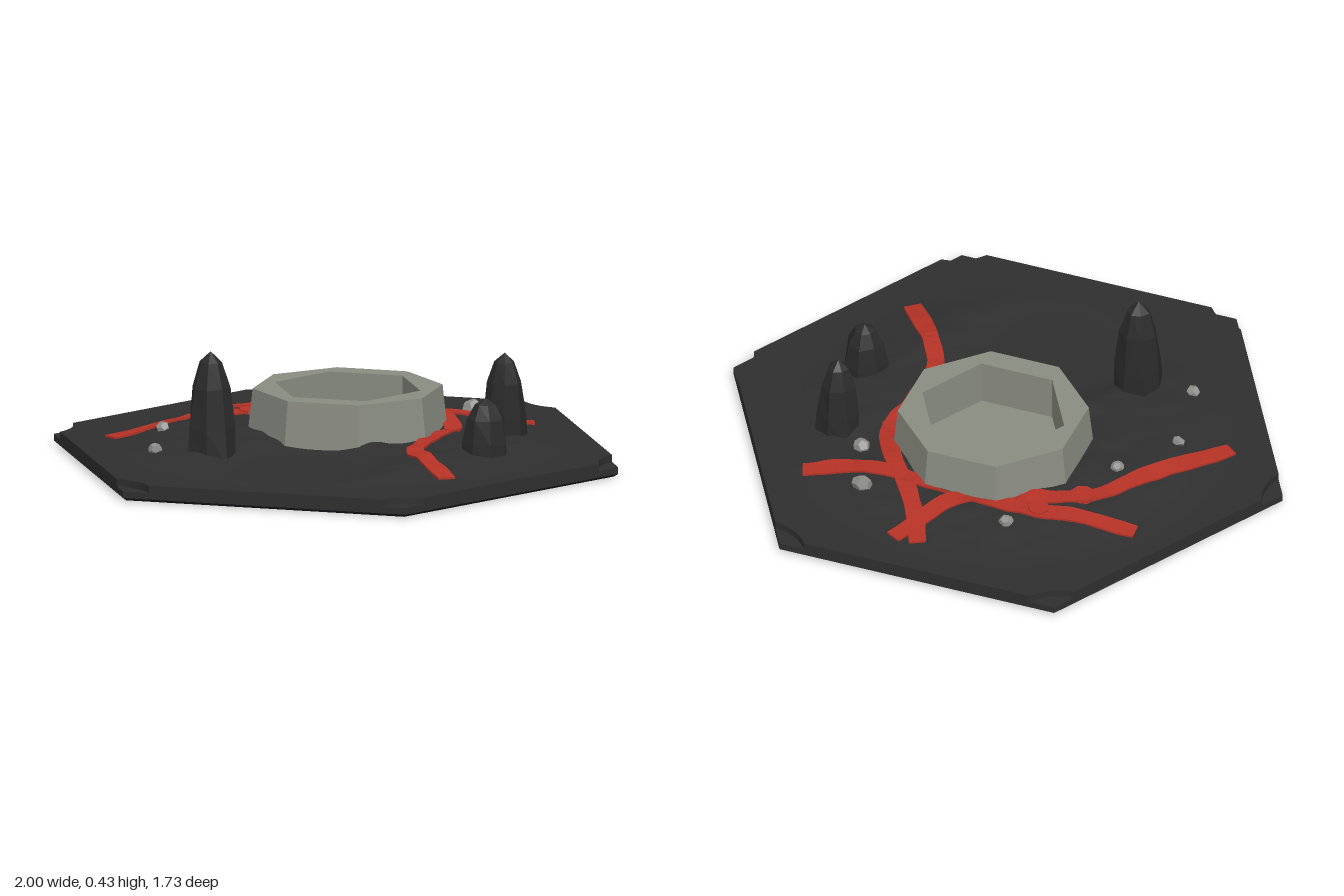
import * as THREE from 'three';

const mat = (name, color) => {
  const m = new THREE.MeshStandardMaterial({ color });
  m.name = name;
  return m;
};
const basin = { x: 0, z: -0.14 };
const smooth = THREE.MathUtils.smoothstep;

// Seeded value noise for the rough ground
const hash = (i, j) => {
  const s = Math.sin(i * 127.1 + j * 311.7) * 43758.5453;
  return s - Math.floor(s);
};
function noise(x, z) {
  const i = Math.floor(x), j = Math.floor(z);
  const u = smooth(x - i, 0, 1), v = smooth(z - j, 0, 1);
  const mix = THREE.MathUtils.lerp;
  return mix(mix(hash(i, j), hash(i + 1, j), u), mix(hash(i, j + 1), hash(i + 1, j + 1), u), v);
}

// Ground height: a rough mound, level in front and under the basin
function groundHeight(x, z) {
  const mound = 1 - smooth(Math.hypot(x, z), 0.5, 0.79);
  const clearing = smooth(Math.hypot(x, z - 0.45), 0.22, 0.36);
  const underBasin = smooth(Math.hypot(x - basin.x, z - basin.z), 0.26, 0.31);
  const bumps = 0.015 + 0.02 * noise(x * 7 + 20, z * 7 + 20) + 0.012 * noise(x * 17 + 50, z * 17 + 50);
  return 0.061 + mound * clearing * underBasin * bumps;
}

const polygon = (sides, radius, turn = 0) => Array.from({ length: sides }, (_, i) => {
  const a = turn + (i / sides) * Math.PI * 2;
  return new THREE.Vector2(Math.cos(a) * radius, Math.sin(a) * radius);
});

function flat(geometry) {
  const g = geometry.index ? geometry.toNonIndexed() : geometry;
  g.computeVertexNormals();
  return g;
}

// Extrude a plan shape upward from y0 to y1
function slab(shape, y0, y1) {
  return new THREE.ExtrudeGeometry(shape, { depth: y1 - y0, bevelEnabled: false, curveSegments: 8 })
    .rotateX(-Math.PI / 2).translate(0, y0, 0);
}

// Hexagon whose corners are scooped out
function notchedHexagon() {
  const corners = polygon(6, 1);
  const shape = new THREE.Shape();
  corners.forEach((c, i) => {
    const a = c.clone().lerp(corners[(i + 5) % 6], 0.09);
    const b = c.clone().lerp(corners[(i + 1) % 6], 0.09);
    if (i === 0) shape.moveTo(a.x, a.y);
    else shape.lineTo(a.x, a.y);
    shape.quadraticCurveTo(c.x * 0.92, c.y * 0.92, b.x, b.y);
  });
  shape.closePath();
  return shape;
}

function hexFrustum(rTop, rBottom, y0, y1) {
  return flat(new THREE.CylinderGeometry(rTop, rBottom, y1 - y0, 6)
    .rotateY(Math.PI / 2).translate(0, (y0 + y1) / 2, 0));
}

// Round patch of ground displaced by the height rule
function groundGeometry() {
  const g = new THREE.RingGeometry(0.001, 0.8, 120, 48).rotateX(-Math.PI / 2);
  const p = g.attributes.position;
  for (let i = 0; i < p.count; i++) p.setY(i, groundHeight(p.getX(i), p.getZ(i)));
  g.computeVertexNormals();
  return g;
}

// Vein: a strip that follows the ground on top and reaches the underside
function veinGeometry(points, width) {
  const curve = new THREE.CatmullRomCurve3(points.map(([x, z]) => new THREE.Vector3(x, 0, z)));
  const n = 48, pos = [], index = [];
  for (let i = 0; i <= n; i++) {
    const c = curve.getPointAt(i / n), t = curve.getTangentAt(i / n);
    const w = width * (0.5 + 0.12 * (noise(i * 0.45, points.length) - 0.5));
    const corner = (s, top) => {
      const x = c.x - t.z * w * s, z = c.z + t.x * w * s;
      pos.push(x, top ? groundHeight(x, z) + 0.007 : 0, z);
    };
    corner(1, true); corner(-1, true); corner(-1, false); corner(1, false);
    if (i === n) break;
    for (let j = 0; j < 4; j++) {
      const a = i * 4 + j, b = i * 4 + (j + 1) % 4;
      index.push(a, a + 4, b + 4, a, b + 4, b);
    }
  }
  const e = n * 4;
  index.push(0, 1, 2, 0, 2, 3, e, e + 2, e + 1, e, e + 3, e + 2);
  const g = new THREE.BufferGeometry();
  g.setAttribute('position', new THREE.Float32BufferAttribute(pos, 3));
  g.setIndex(index);
  return flat(g);
}

// Faceted rock spike, slightly irregular around its axis
function spikeGeometry(height, radius, seed) {
  const profile = [[1, 0], [0.94, 0.3], [0.76, 0.67], [0.45, 0.9], [0, 1]]
    .map(([r, y]) => new THREE.Vector2(r * radius, y * height));
  const g = new THREE.LatheGeometry(profile, 7, seed);
  const p = g.attributes.position;
  for (let i = 0; i < p.count; i++) {
    const x = p.getX(i), z = p.getZ(i), y = p.getY(i);
    const k = 1 + 0.07 * Math.sin(3 * Math.atan2(z, x) + seed + y * 9);
    p.setXYZ(i, x * k, y, z * k);
  }
  return flat(g);
}

export function createModel() {
  const rock = mat('dark rock', 0x2f2f2f);
  const spikeRock = mat('spike rock', 0x2b2b2b);
  const underside = mat('underside', 0x1e1d22);
  const red = mat('red vein', 0xb53226);
  const stone = mat('grey stone', 0x898c81);
  const pebbleGrey = mat('pebble grey', 0x8f8f8b);

  const model = new THREE.Group();
  const add = (name, geometry, material, x = 0, y = 0, z = 0) => {
    const m = new THREE.Mesh(geometry, material);
    m.name = name;
    m.position.set(x, y, z);
    model.add(m);
    return m;
  };

  // Hexagonal tile
  add('tileFoot', hexFrustum(1, 0.985, 0.002, 0.012), underside);
  add('tileLower', hexFrustum(1, 1, 0.012, 0.035), rock);
  add('tileUpper', slab(notchedHexagon(), 0.035, 0.06), rock);
  add('ground', groundGeometry(), rock);

  // Red veins
  [
    [[-0.62, -0.41], [-0.42, -0.42], [-0.28, -0.45], [0, -0.445], [0.3, -0.43], [0.42, -0.44], [0.56, -0.49]],
    [[-0.76, 0.14], [-0.6, -0.07], [-0.45, -0.27], [-0.37, -0.33], [-0.2, -0.4], [0, -0.48], [0.08, -0.62], [0.14, -0.73]],
    [[0.05, -0.73], [0.1, -0.62], [0.2, -0.46], [0.28, -0.36], [0.355, -0.2], [0.335, -0.05], [0.33, 0.17], [0.4, 0.31], [0.54, 0.5]],
  ].forEach((points) => add('vein', veinGeometry(points, 0.062), red));
  // Swollen spots along the veins
  [[-0.39, -0.31, 0.055], [0.36, -0.18, 0.035], [-0.28, -0.44, 0.045]].forEach(([x, z, r]) => {
    const top = groundHeight(x, z) + 0.012;
    add('veinKnot', flat(new THREE.CylinderGeometry(r * 0.8, r, top, 8)), red, x, top / 2, z);
  });

  // Octagonal basin with a six-sided hollow
  const plan = new THREE.Shape(polygon(8, 0.3 / Math.cos(Math.PI / 8), Math.PI / 8));
  plan.holes.push(new THREE.Path(polygon(6, 0.258).reverse()));
  const wall = slab(plan, 0.05, 0.23);
  const p = wall.attributes.position;
  for (let i = 0; i < p.count; i++) {
    if (p.getY(i) < 0.1 && Math.hypot(p.getX(i), p.getZ(i)) > 0.3) {
      p.setX(i, p.getX(i) * 1.06);
      p.setZ(i, p.getZ(i) * 1.06);
    }
  }
  add('basinWall', flat(wall), stone, basin.x, 0, basin.z);
  add('basinFloor', new THREE.CircleGeometry(0.26, 6).rotateX(-Math.PI / 2), stone, basin.x, 0.072, basin.z);

  // Rock spikes: x, z, top height, radius
  [[-0.34, 0.355, 0.43, 0.085], [0.53, -0.23, 0.36, 0.076], [0.56, 0.1, 0.27, 0.08]]
    .forEach(([x, z, h, r], i) => add('spike', spikeGeometry(h - 0.05, r, 1 + i * 2), spikeRock, x, 0.05, z));

  // Scattered pebbles: x, z, radius
  [[-0.2, -0.54, 0.026], [0.33, -0.525, 0.038], [0.41, -0.32, 0.031],
    [-0.45, -0.135, 0.024], [-0.59, 0.08, 0.024], [-0.53, 0.375, 0.025]].forEach(([x, z, r], i) => {
    const m = add('pebble', flat(new THREE.DodecahedronGeometry(r)), pebbleGrey, x, groundHeight(x, z) + r * 0.25, z);
    m.rotation.set(i, i * 2, 0);
    m.scale.y = 0.75;
  });

  return model;
}
